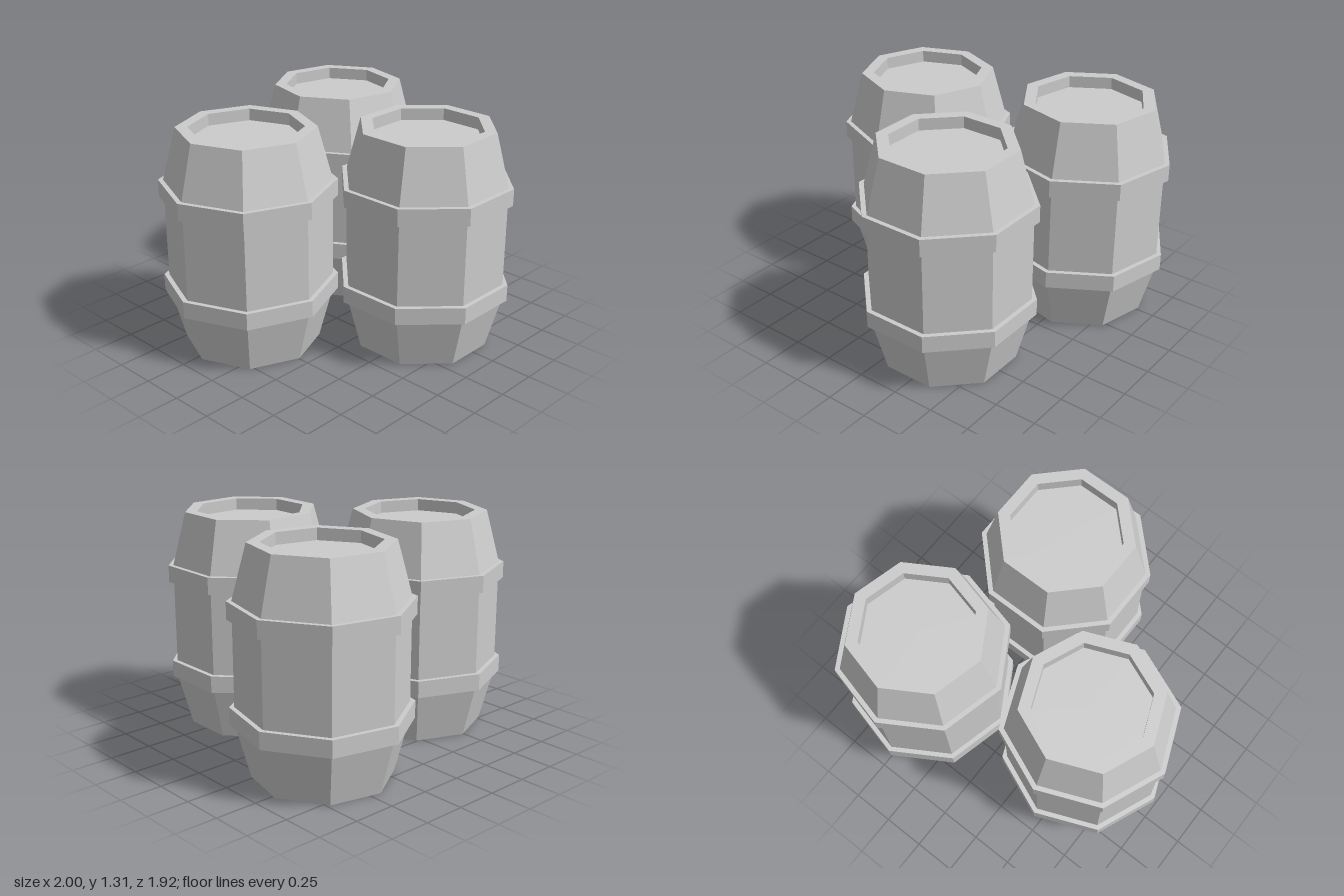
import * as THREE from 'three';

const SIDES = 8;
const HEIGHT = 1.31;
const material = new THREE.MeshStandardMaterial({ color: 0xcccccc, flatShading: true });

// Faceted eight-sided solid turned from a profile of [radius, y] pairs
function turned(name, profile) {
  const points = profile.map(([r, y]) => new THREE.Vector2(r, y));
  const geometry = new THREE.LatheGeometry(points, SIDES).toNonIndexed();
  geometry.computeVertexNormals();
  const mesh = new THREE.Mesh(geometry, material);
  mesh.name = name;
  return mesh;
}

function createBarrel(name, x, z, turn) {
  const barrel = new THREE.Group();
  barrel.name = name;

  // Staves with tapered ends, raised rims and sunken lids
  const lowerHalf = [[0, 0.07], [0.325, 0.07], [0.325, 0], [0.395, 0], [0.477, 0.31]];
  const upperHalf = lowerHalf.map(([r, y]) => [r, HEIGHT - y]).reverse();
  barrel.add(turned('barrelBody', [...lowerHalf, ...upperHalf]));

  // Square-edged hoops
  for (const [hoopName, y] of [['lowerHoop', 0.31], ['upperHoop', 0.9]]) {
    const top = y + 0.1;
    barrel.add(turned(hoopName, [[0.46, y], [0.506, y], [0.506, top], [0.46, top]]));
  }

  barrel.position.set(x, 0, z);
  barrel.rotation.y = THREE.MathUtils.degToRad(turn);
  return barrel;
}

export function createModel() {
  const model = new THREE.Group();
  model.name = 'barrelCluster';
  model.add(
    createBarrel('rightBarrel', -0.494, -0.216, 0),
    createBarrel('backLeftBarrel', 0.496, -0.463, 8.6),
    createBarrel('frontBarrel', 0.22, 0.488, 22.5),
  );
  return model;
}
